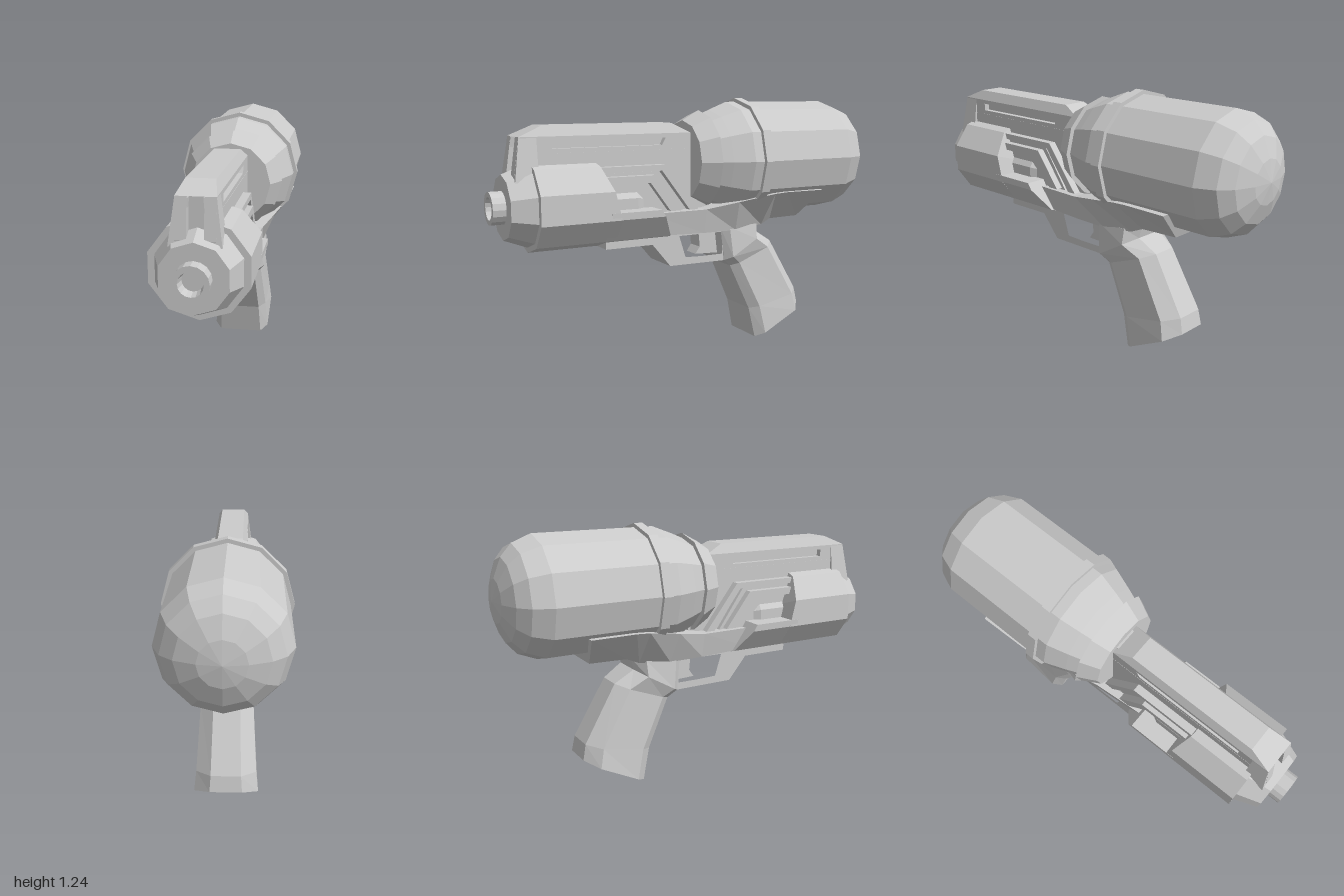
import * as THREE from 'three';

const mat = new THREE.MeshStandardMaterial({ color: 0xcccccc, flatShading: true });

function add(group, name, geometry) {
  const mesh = new THREE.Mesh(geometry, mat);
  mesh.name = name;
  group.add(mesh);
  return mesh;
}

// Faceted turned part along z; profile is [radius, z] from back to front
function turned(profile, sides, y) {
  const g = new THREE.LatheGeometry(profile.map(([r, z]) => new THREE.Vector2(r, z)), sides);
  return g.rotateX(Math.PI / 2).translate(0, y, 0);
}

// Side outline of [z, y] points, extruded across x from -half to half
function slab(outline, half, hole) {
  const v = (pts) => pts.map(([z, y]) => new THREE.Vector2(z, y));
  const shape = new THREE.Shape(v(outline));
  if (hole) shape.holes.push(new THREE.Path(v(hole)));
  const g = new THREE.ExtrudeGeometry(shape, { depth: half * 2, bevelEnabled: false });
  return g.translate(0, 0, -half).rotateY(-Math.PI / 2);
}

// Skin over equal-length rings of [x, y, z], capped at both ends and turned outward
function loft(rings) {
  const tris = [];
  const n = rings[0].length;
  for (let i = 0; i < rings.length - 1; i++) {
    for (let j = 0; j < n; j++) {
      const k = (j + 1) % n, a = rings[i], b = rings[i + 1];
      tris.push([a[j], a[k], b[k]], [a[j], b[k], b[j]]);
    }
  }
  const first = rings[0], last = rings[rings.length - 1];
  for (let j = 1; j < n - 1; j++) {
    tris.push([first[0], first[j + 1], first[j]], [last[0], last[j], last[j + 1]]);
  }
  let volume = 0;
  const [p, q, r] = [0, 1, 2].map(() => new THREE.Vector3());
  for (const t of tris) volume += p.fromArray(t[0]).dot(q.fromArray(t[1]).cross(r.fromArray(t[2])));
  if (volume < 0) tris.forEach((t) => t.reverse());
  const g = new THREE.BufferGeometry();
  g.setAttribute('position', new THREE.Float32BufferAttribute(tris.flat(2), 3));
  g.computeVertexNormals();
  return g;
}

export function createModel() {
  const model = new THREE.Group();
  model.name = 'waterBlaster';
  const tankY = 0.936, barrelY = 0.762;

  // Water tank with rounded back, raised band and flared front collar
  add(model, 'tank', turned([
    [0, -1], [0.1, -0.985], [0.19, -0.95], [0.247, -0.9], [0.283, -0.81],
    [0.283, -0.22], [0.245, -0.12], [0.215, -0.05], [0, -0.05]], 12, tankY));
  add(model, 'tankBand', turned([
    [0.27, -0.315], [0.302, -0.315], [0.302, -0.27], [0.27, -0.27]], 12, tankY));
  add(model, 'tankCollar', turned([
    [0, -0.06], [0.243, -0.06], [0.195, 0.03], [0, 0.03]], 12, tankY));

  // Ten-sided barrel sleeve with its back edge cut at a slant
  const sleeve = turned([[0, 0.45], [0.214, 0.45], [0.214, 0.83], [0.18, 0.83]], 10, barrelY);
  const pos = sleeve.attributes.position;
  for (let i = 0; i < pos.count; i++) {
    if (pos.getZ(i) < 0.5) pos.setZ(i, 0.45 + Math.max(0, pos.getY(i) - 0.73) * 0.34);
  }
  add(model, 'barrelSleeve', sleeve.scale(1.03, 1, 1));

  // Nose cone and hollow nozzle
  add(model, 'barrelNose', turned([[0.19, 0.8], [0.19, 0.83], [0.148, 0.94], [0, 0.94]], 10, barrelY));
  add(model, 'nozzle', turned([
    [0.075, 0.93], [0.075, 1], [0.052, 1], [0.045, 0.95], [0, 0.95]], 16, barrelY));

  // Lower trough carrying the sleeve backwards, slanted at the rear
  const lower = [[0.211, 0.73], [0.209, 0.697], [0.13, 0.589], [0, 0.55]];
  const section = [...lower, ...lower.slice(0, 3).reverse().map(([x, y]) => [-x, y])];
  add(model, 'barrelTrough', loft([
    section.map(([x, y]) => [x, y, 0.5]),
    section.map(([x, y]) => [x, y, 0.25 - (0.73 - y) * 0.6])]));

  // Inner cylinder seen in the side opening
  add(model, 'pumpCylinder', turned([[0, 0.28], [0.1, 0.28], [0.13, 0.33], [0.13, 0.5]], 10, 0.74));

  // Central body and stepped side ribs
  add(model, 'bodyCore', slab([
    [0.8, 0.62], [0.8, 1], [0, 1], [-0.1, 0.62]], 0.084));
  add(model, 'upperRib', slab([
    [0.56, 0.93], [0.185, 0.93], [0.01, 0.705], [0.055, 0.705], [0.205, 0.902], [0.56, 0.902]], 0.122));
  add(model, 'lowerRib', slab([
    [0.54, 0.885], [0.25, 0.885], [0.115, 0.71], [0.17, 0.71], [0.275, 0.85], [0.54, 0.85]], 0.14));
  add(model, 'sidePanel', slab([
    [0.54, 0.9], [0.23, 0.9], [0.09, 0.7], [0.3, 0.7], [0.37, 0.8], [0.54, 0.8]], 0.105));

  // Top rail: core, slotted sides and chamfered cap
  add(model, 'railCore', slab([[0.85, 0.88], [0.85, 1.08], [0.03, 1.08], [0.03, 0.88]], 0.055));
  const railSide = [[0.905, 0.905], [0.88, 1.075], [0.03, 1.075], [0.03, 0.88], [0.9, 0.88]];
  const slot = [[0.73, 1.02], [0.73, 1.055], [0.165, 1.055], [0.185, 1.02]];
  for (const side of [-1, 1]) {
    const plate = add(model, side > 0 ? 'railSideLeft' : 'railSideRight', slab(railSide, 0.024, slot));
    plate.position.x = side * 0.059;
  }
  const rect = (x, y, z0, z1) => [[x, y, z0], [x, y, z1], [-x, y, z1], [-x, y, z0]];
  add(model, 'railCap', loft([rect(0.083, 1.075, 0.03, 0.88), rect(0.062, 1.122, 0.125, 0.77)]));

  // Splayed feet of the front sight
  for (const side of [-1, 1]) {
    const foot = (x0, x1, y, z0, z1) =>
      [[x0, y, z0], [x1, y, z0], [x1, y, z1], [x0, y, z1]].map(([x, h, z]) => [x * side, h, z]);
    add(model, side > 0 ? 'sightFootLeft' : 'sightFootRight', loft([
      foot(0.052, 0.108, 0.88, 0.8, 0.908), foot(0.03, 0.083, 1.07, 0.8, 0.88)]));
  }

  // Cradle flaring outward under the tank: [top x, y, z, bottom x, y, z]
  const cradle = [
    [0.13, 0.7, 0.27, 0.11, 0.59, 0.27],
    [0.155, 0.705, -0.02, 0.13, 0.585, -0.02],
    [0.2, 0.735, -0.18, 0.135, 0.585, -0.2],
    [0.25, 0.77, -0.36, 0.125, 0.6, -0.36],
    [0.255, 0.775, -0.43, 0.115, 0.625, -0.42],
    [0.26, 0.775, -0.65, 0.1, 0.625, -0.6]];
  add(model, 'tankCradle', loft(cradle.map(([tx, ty, tz, bx, by, bz]) =>
    [[tx, ty, tz], [bx, by, bz], [-bx, by, bz], [-tx, ty, tz]])));

  // Trigger guard with opening, and trigger
  add(model, 'triggerGuard', slab([
    [0.49, 0.6], [0.49, 0.547], [0.25, 0.547], [0.155, 0.433], [-0.16, 0.43], [-0.2, 0.6]], 0.105,
  [[0.105, 0.577], [0.07, 0.468], [-0.02, 0.465], [-0.14, 0.465], [-0.14, 0.577]]));
  add(model, 'trigger', slab([
    [-0.035, 0.6], [-0.045, 0.5], [-0.02, 0.465], [-0.15, 0.46], [-0.15, 0.6]], 0.045));

  // Pistol grip: [front z, front y, back z, back y, half width] from top to bottom
  const grip = [
    [-0.13, 0.6, -0.375, 0.61, 0.135],
    [-0.15, 0.432, -0.365, 0.556, 0.146],
    [-0.195, 0.396, -0.46, 0.497, 0.122],
    [-0.305, 0.16, -0.62, 0.225, 0.137],
    [-0.34, 0.003, -0.635, 0.15, 0.147]];
  const across = [[0, 0.76], [0.15, 1], [0.8, 1], [1, 0.5]];
  add(model, 'grip', loft(grip.map(([fz, fy, bz, by, w]) => {
    const half = across.map(([t, k]) => [w * k, fy + (by - fy) * t, fz + (bz - fz) * t]);
    return [...half, ...half.slice().reverse().map(([x, y, z]) => [-x, y, z])];
  })));

  return model;
}
